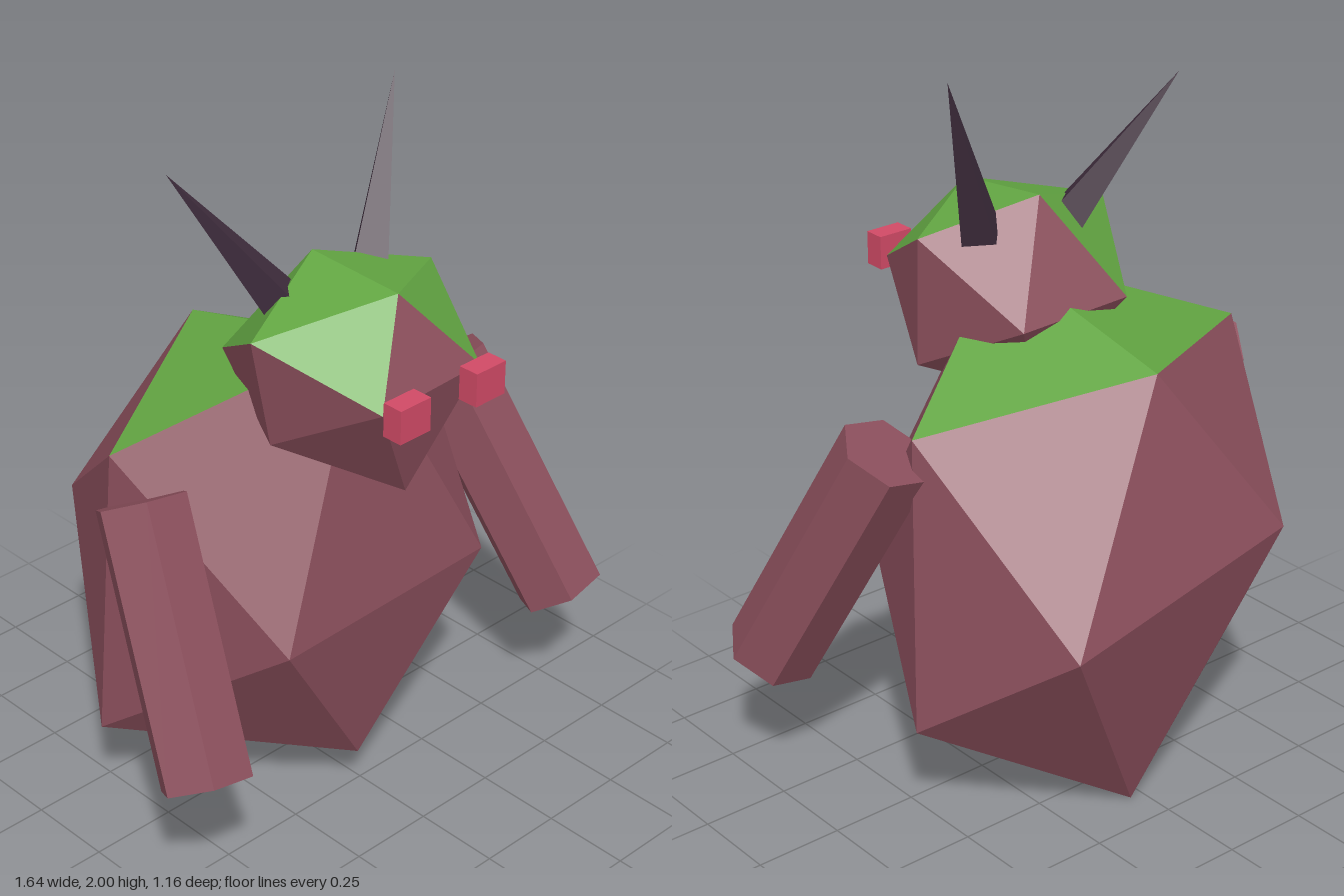
import * as THREE from 'three';

const mat = (name, color) => new THREE.MeshStandardMaterial({ name, color, flatShading: true, side: THREE.DoubleSide });
const V = (a) => new THREE.Vector3(...a);

// Twenty-sided faceted lump: A-B bottom, C-D lower sides, E-F front, G-H back, I-J upper sides, K-L top
const FACES = 'ABC ABD ACE ADF AEF BCG BDH BGH CEI CGI DFJ DHJ EFL EIL FJL GHK GIK HJK IKL JKL'.split(' ');

function facets(name, corners, faces, material) {
  const centre = new THREE.Vector3();
  Object.values(corners).forEach((c) => centre.addScaledVector(V(c), 1 / 12));
  const points = [];
  for (const face of faces) {
    let [a, b, c] = [...face].map((k) => V(corners[k]));
    const normal = b.clone().sub(a).cross(c.clone().sub(a));
    // keep every face turned outward
    if (normal.dot(a.clone().sub(centre)) < 0) [b, c] = [c, b];
    points.push(a, b, c);
  }
  const geometry = new THREE.BufferGeometry().setFromPoints(points);
  geometry.computeVertexNormals();
  const mesh = new THREE.Mesh(geometry, material);
  mesh.name = name;
  return mesh;
}

function lump(name, corners, mossFaces, openFaces, skin, moss) {
  const group = new THREE.Group();
  group.name = name;
  const skinFaces = FACES.filter((f) => !mossFaces.includes(f) && !openFaces.includes(f));
  group.add(facets(name + 'Skin', corners, skinFaces, skin), facets(name + 'Moss', corners, mossFaces, moss));
  return group;
}

// Place an upright geometry between two points
function between(name, geometry, bottom, top, material) {
  const mesh = new THREE.Mesh(geometry, material);
  const b = V(bottom), t = V(top);
  mesh.name = name;
  mesh.position.copy(b).add(t).multiplyScalar(0.5);
  mesh.scale.y = b.distanceTo(t);
  mesh.quaternion.setFromUnitVectors(new THREE.Vector3(0, 1, 0), t.sub(b).normalize());
  return mesh;
}

export function createModel() {
  const model = new THREE.Group();
  model.name = 'hornedCreature';
  const skin = mat('skin', 0x8b4f5c);
  const moss = mat('moss', 0x62a542);
  const horn = mat('horn', 0x3f2d3d);
  const eye = mat('eye', 0xd04a66);

  // Body, open underneath
  model.add(lump('body', {
    A: [-0.04, 0.13, 0.28], B: [0.04, 0.005, -0.39],
    C: [-0.61, 0.28, -0.14], D: [0.58, 0.31, -0.14],
    E: [-0.38, 0.65, 0.365], F: [0.35, 0.67, 0.36],
    G: [-0.36, 0.77, -0.54], H: [0.39, 0.64, -0.58],
    I: [-0.6, 1.17, -0.07], J: [0.49, 1.1, -0.03],
    K: [-0.03, 1.26, -0.39], L: [-0.01, 1.41, 0.23],
  }, ['IKL', 'JKL'], ['ABC', 'ABD'], skin, moss));

  // Head
  model.add(lump('head', {
    A: [-0.02, 1.04, 0.42], B: [0, 1.05, 0.08],
    C: [-0.3, 1.2, 0.21], D: [0.27, 1.16, 0.23],
    E: [-0.2, 1.37, 0.51], F: [0.17, 1.37, 0.49],
    G: [-0.2, 1.33, -0.08], H: [0.14, 1.31, -0.06],
    I: [-0.355, 1.51, 0.2], J: [0.28, 1.53, 0.205],
    K: [-0.03, 1.615, 0.08], L: [-0.01, 1.59, 0.37],
  }, ['IKL', 'JKL', 'EIL', 'FJL', 'GIK'], [], skin, moss));

  // Six-sided arms
  const arm = new THREE.CylinderGeometry(0.13, 0.13, 1, 6, 1, false, Math.PI / 6);
  model.add(between('leftArm', arm, [0.695, 0.38, 0.36], [0.535, 1.06, 0.02], skin));
  model.add(between('rightArm', arm, [-0.69, 0.425, 0.385], [-0.575, 1.065, 0.02], skin));

  // Four-sided horns
  const spike = new THREE.ConeGeometry(0.065, 1, 4);
  model.add(between('leftHorn', spike, [0.13, 1.53, 0.13], [0.3, 2, 0.04], horn));
  model.add(between('rightHorn', spike, [-0.155, 1.51, 0.115], [-0.41, 1.905, -0.04], horn));

  // Eyes
  for (const [name, x] of [['leftEye', 0.117], ['rightEye', -0.153]]) {
    const box = new THREE.Mesh(new THREE.BoxGeometry(0.105, 0.095, 0.06), eye);
    box.name = name;
    box.position.set(x, 1.367, 0.548);
    model.add(box);
  }
  return model;
}
